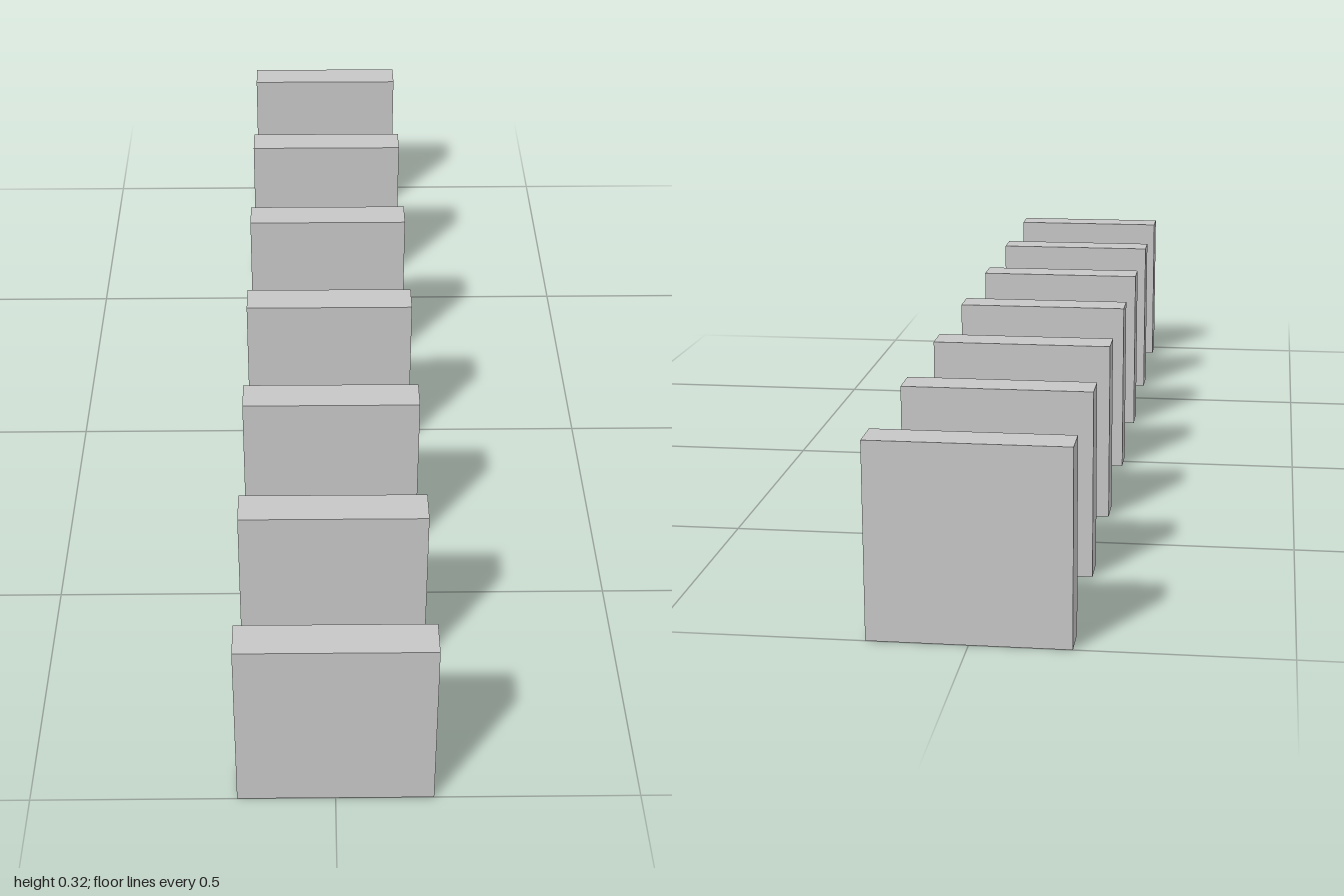
import * as THREE from 'three';

// A row of seven evenly spaced upright square slabs
export function createModel() {
  const group = new THREE.Group();
  group.name = 'slabRow';

  const lightGrey = new THREE.MeshStandardMaterial({ color: 0xc6c6c6 });
  lightGrey.name = 'lightGrey';

  const count = 7;
  const unit = 2 / 62;
  const side = 10 * unit;
  const thickness = 2 * unit;
  const spacing = 10 * unit;
  const slabGeometry = new THREE.BoxGeometry(side, side, thickness);

  for (let i = 0; i < count; i++) {
    const slab = new THREE.Mesh(slabGeometry, lightGrey);
    slab.name = `slab${i + 1}`;
    slab.position.set(0, side / 2, (i - (count - 1) / 2) * spacing);
    group.add(slab);
  }
  return group;
}
